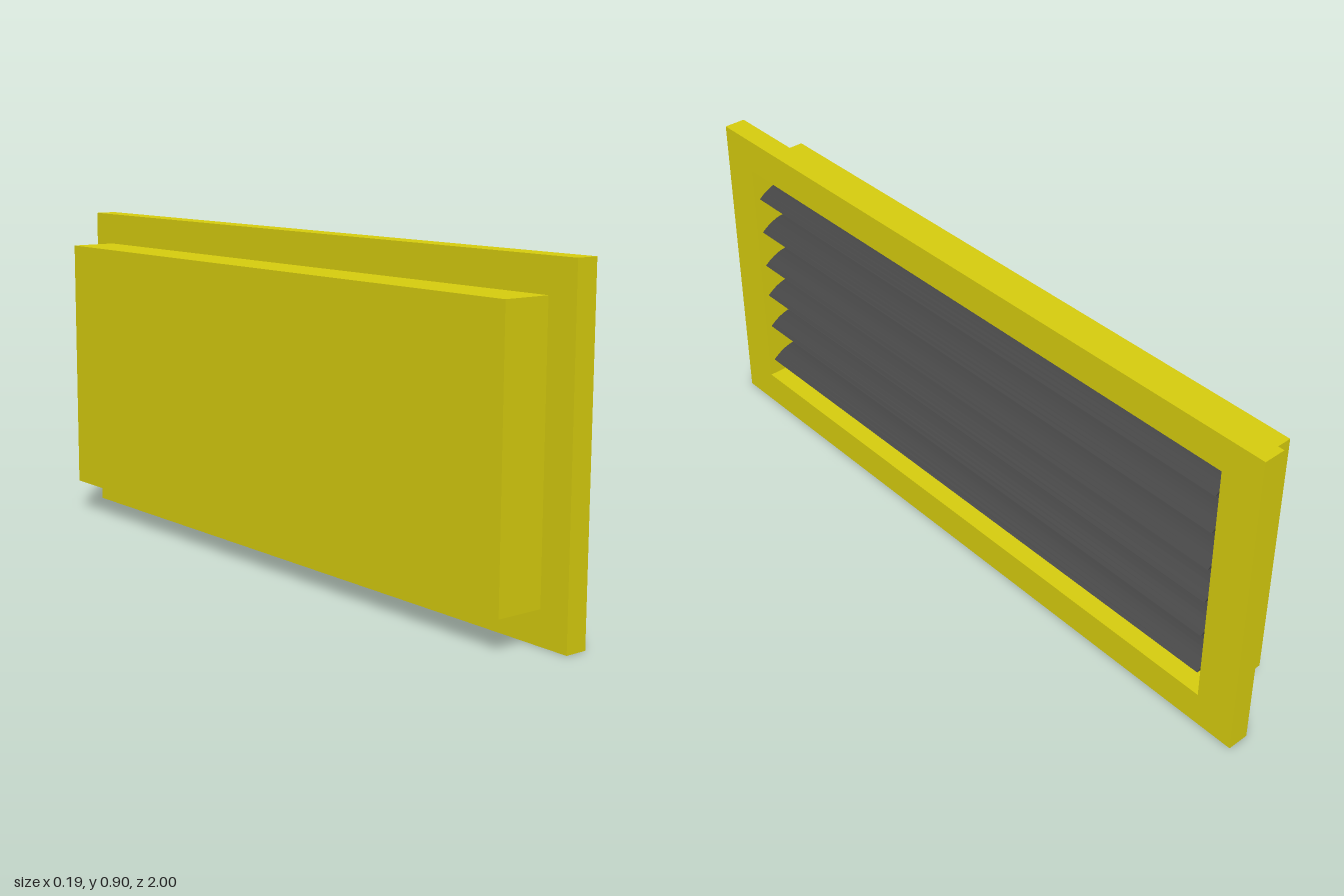
import * as THREE from 'three';

const yellow = new THREE.MeshStandardMaterial({ color: 0xd6cc0e });
const grey = new THREE.MeshStandardMaterial({ color: 0x444444 });
const black = new THREE.MeshStandardMaterial({ color: 0x0d0d0d });

const CENTRE_Y = 0.45;
const OPEN_W = 1.77, OPEN_H = 0.708;

function rect(PathType, w, h) {
  const p = new PathType();
  p.moveTo(-w / 2, -h / 2);
  p.lineTo(w / 2, -h / 2);
  p.lineTo(w / 2, h / 2);
  p.lineTo(-w / 2, h / 2);
  p.closePath();
  return p;
}

// Rectangular ring around the opening, running from x0 to x1
function ring(name, w, h, x0, x1) {
  const shape = rect(THREE.Shape, w, h);
  shape.holes.push(rect(THREE.Path, OPEN_W, OPEN_H));
  const geo = new THREE.ExtrudeGeometry(shape, { depth: x1 - x0, bevelEnabled: false });
  geo.rotateY(Math.PI / 2);
  geo.translate(x0, CENTRE_Y, 0);
  const mesh = new THREE.Mesh(geo, yellow);
  mesh.name = name;
  return mesh;
}

function plate(name, w, h, x0, x1, material) {
  const mesh = new THREE.Mesh(new THREE.BoxGeometry(x1 - x0, h, w), material);
  mesh.position.set((x0 + x1) / 2, CENTRE_Y, 0);
  mesh.name = name;
  return mesh;
}

// Curved blade: thin crescent section, low at the front edge
function slatGeometry(length) {
  const s = new THREE.Shape();
  s.moveTo(0.09, 0);
  s.bezierCurveTo(0.065, 0.022, 0.035, 0.034, 0.005, 0.033);
  s.quadraticCurveTo(-0.012, 0.032, -0.025, 0.024);
  s.quadraticCurveTo(0.005, 0.026, 0.03, 0.012);
  s.quadraticCurveTo(0.06, -0.003, 0.09, 0);
  const geo = new THREE.ExtrudeGeometry(s, { depth: length, bevelEnabled: false, curveSegments: 8 });
  geo.translate(0, 0, -length / 2);
  return geo;
}

export function createModel() {
  const model = new THREE.Group();
  model.name = 'ventGrille';

  // Flange and the box behind it
  model.add(ring('frontFrame', 2, 0.9, 0.036, 0.097));
  model.add(ring('boxWalls', 1.83, 0.722, -0.097, 0.036));
  model.add(plate('boxBack', OPEN_W, OPEN_H, -0.097, -0.045, yellow));
  model.add(plate('darkPanel', OPEN_W, OPEN_H, -0.045, -0.033, black));

  // Row of blades
  const slats = new THREE.Group();
  slats.name = 'slats';
  const geo = slatGeometry(1.74);
  [0.158, 0.281, 0.391, 0.495, 0.608, 0.718].forEach((y, i) => {
    const slat = new THREE.Mesh(geo, grey);
    slat.name = 'slat' + (i + 1);
    slat.position.y = y;
    slats.add(slat);
  });
  model.add(slats);
  return model;
}
